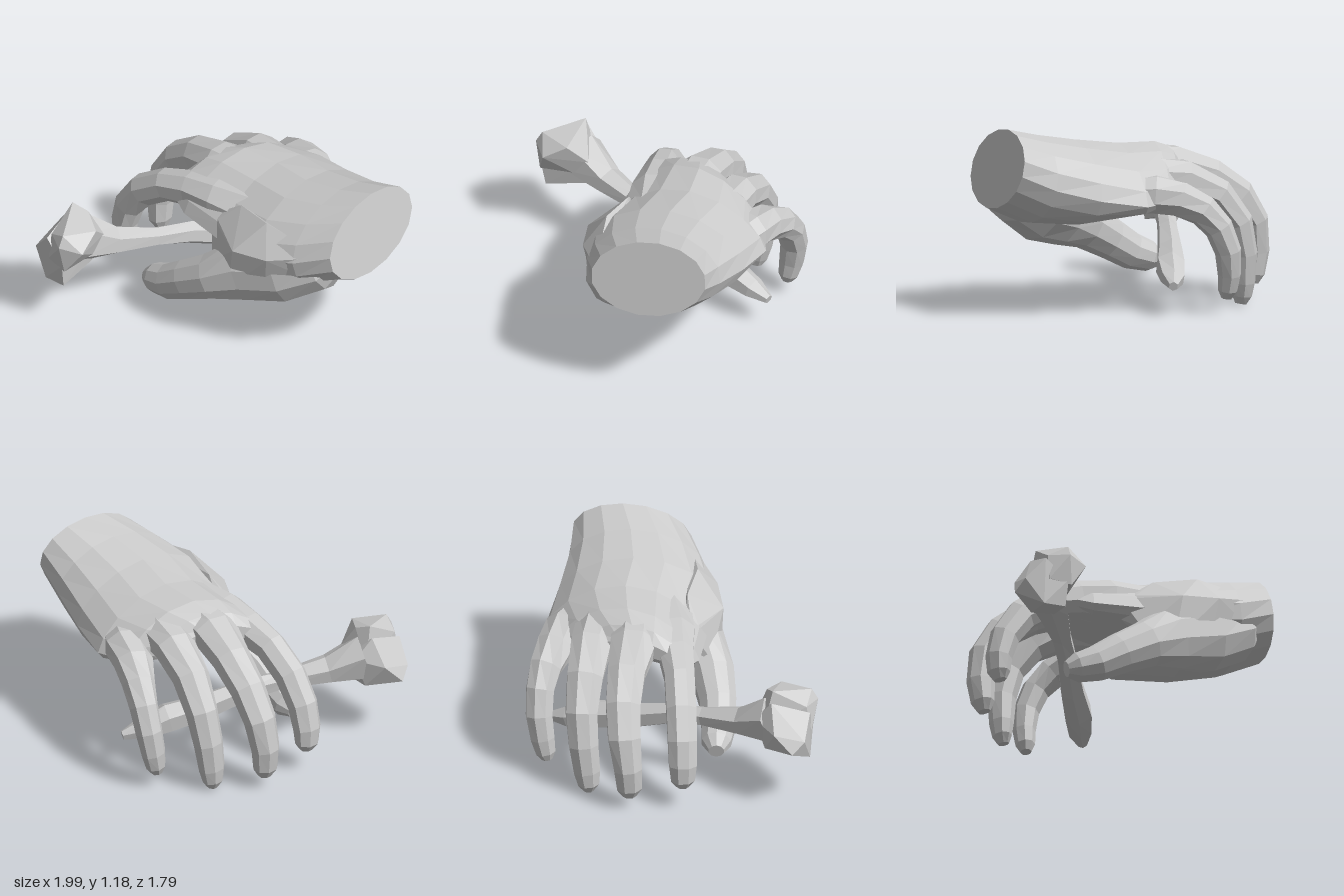
import * as THREE from 'three';
import { ConvexGeometry } from 'three/addons/geometries/ConvexGeometry.js';

const material = new THREE.MeshStandardMaterial({ color: 0xcccccc, flatShading: true });

// Skin a list of rings (arrays of Vector3) and close both ends
function skin(rings) {
  const n = rings[0].length, pos = [], index = [];
  rings.forEach(r => r.forEach(p => pos.push(p.x, p.y, p.z)));
  for (let i = 0; i < rings.length - 1; i++) {
    for (let j = 0; j < n; j++) {
      const k = (j + 1) % n, a = i * n + j, b = i * n + k;
      index.push(a, b, a + n, b, b + n, a + n);
    }
  }
  [0, rings.length - 1].forEach((r, end) => {
    const c = new THREE.Vector3();
    rings[r].forEach(p => c.addScaledVector(p, 1 / n));
    const ci = pos.length / 3;
    pos.push(c.x, c.y, c.z);
    for (let j = 0; j < n; j++) {
      const a = r * n + j, b = r * n + (j + 1) % n;
      if (end) index.push(ci, a, b); else index.push(ci, b, a);
    }
  });
  const g = new THREE.BufferGeometry();
  g.setAttribute('position', new THREE.Float32BufferAttribute(pos, 3));
  g.setIndex(index);
  g.computeVertexNormals();
  return g;
}

// Limb along a path of [x, y, z, side radius, depth radius]
function limb(path, sides = 8, ref = new THREE.Vector3(0, 0, 1)) {
  const pts = path.map(p => new THREE.Vector3(p[0], p[1], p[2]));
  return skin(path.map((p, i) => {
    const t = pts[Math.min(i + 1, pts.length - 1)].clone().sub(pts[Math.max(i - 1, 0)]).normalize();
    const u = ref.clone().addScaledVector(t, -ref.dot(t)).normalize();
    const v = t.clone().cross(u);
    return Array.from({ length: sides }, (_, j) => {
      const a = (j + 0.5) / sides * Math.PI * 2;
      return pts[i].clone().addScaledVector(u, Math.cos(a) * p[3]).addScaledVector(v, Math.sin(a) * p[4]);
    });
  }));
}

// Palm section: arched oval, leaning in x with z and y, its top shifted in z
function palmRing([x, yc, ry, zc, rz, arch, leanZ, leanY, shift]) {
  const n = 16;
  return Array.from({ length: n }, (_, j) => {
    const a = j / n * Math.PI * 2, c = Math.cos(a), s = Math.sin(a);
    const dy = ry * s - arch * c * c, dz = rz * c - shift * s;
    return new THREE.Vector3(x + leanZ * dz + leanY * dy, yc + dy, zc + dz);
  });
}

const hull = pts => new ConvexGeometry(pts.map(p => new THREE.Vector3(...p)));

export function createModel() {
  const model = new THREE.Group();
  const add = (name, geometry) => {
    const mesh = new THREE.Mesh(geometry, material);
    mesh.name = name;
    model.add(mesh);
  };

  // Wrist and back of the hand
  add('palm', skin([
    [0.93, 0.92, 0.25, -0.155, 0.365, 0, -0.1, -0.2, 0.06],
    [0.7, 0.84, 0.275, -0.14, 0.43, 0.02, -0.1, -0.15, 0.04],
    [0.42, 0.805, 0.26, -0.16, 0.5, 0.06, -0.1, -0.1, 0.02],
    [0.12, 0.85, 0.18, -0.245, 0.5, 0.15, -0.15, 0, 0],
    [-0.14, 0.87, 0.15, -0.25, 0.44, 0.16, -0.3, 0, 0],
    [-0.27, 0.86, 0.115, -0.23, 0.35, 0.11, -0.4, 0, 0],
    [-0.34, 0.85, 0.05, -0.21, 0.26, 0.06, -0.4, 0, 0],
  ].map(palmRing)));

  // Curled fingers from knuckle to tip
  const fingers = {
    indexFinger: [
      [0.12, 0.8, -0.02, 0.2, 0.16], [-0.13, 0.81, 0.03, 0.15, 0.135], [-0.33, 0.79, 0.04, 0.115, 0.115],
      [-0.52, 0.735, 0.05, 0.1, 0.105], [-0.7, 0.61, 0.05, 0.1, 0.105], [-0.81, 0.45, 0.05, 0.097, 0.095],
      [-0.85, 0.3, 0.05, 0.092, 0.083], [-0.85, 0.2, 0.05, 0.08, 0.07], [-0.84, 0.15, 0.05, 0.045, 0.04]],
    middleFinger: [
      [-0.06, 0.87, -0.19, 0.15, 0.14], [-0.3, 0.855, -0.22, 0.155, 0.125], [-0.52, 0.775, -0.28, 0.125, 0.115],
      [-0.7, 0.65, -0.31, 0.115, 0.105], [-0.81, 0.48, -0.31, 0.108, 0.095], [-0.84, 0.28, -0.29, 0.093, 0.088],
      [-0.83, 0.14, -0.28, 0.083, 0.072], [-0.82, 0.08, -0.28, 0.045, 0.04]],
    ringFinger: [
      [0.02, 0.83, -0.41, 0.15, 0.14], [-0.22, 0.81, -0.48, 0.135, 0.12], [-0.42, 0.7, -0.53, 0.12, 0.11],
      [-0.55, 0.52, -0.56, 0.105, 0.1], [-0.6, 0.32, -0.55, 0.098, 0.088], [-0.61, 0.14, -0.53, 0.088, 0.075],
      [-0.61, 0.05, -0.52, 0.07, 0.06], [-0.6, 0, -0.52, 0.035, 0.035]],
    littleFinger: [
      [0.26, 0.75, -0.5, 0.13, 0.11], [0.07, 0.755, -0.62, 0.14, 0.125], [-0.07, 0.72, -0.69, 0.125, 0.115],
      [-0.19, 0.65, -0.76, 0.105, 0.1], [-0.28, 0.54, -0.8, 0.092, 0.09], [-0.34, 0.39, -0.81, 0.088, 0.082],
      [-0.36, 0.24, -0.79, 0.08, 0.07], [-0.36, 0.14, -0.77, 0.065, 0.06], [-0.36, 0.09, -0.76, 0.035, 0.035]],
  };
  for (const [name, path] of Object.entries(fingers)) add(name, limb(path));

  // Thumb with its fleshy base, and the muscle joining it to the index finger
  add('thumb', limb([
    [0.83, 0.81, -0.02, 0.12, 0.08], [0.7, 0.715, 0.04, 0.2, 0.18], [0.47, 0.61, 0.14, 0.2, 0.22],
    [0.22, 0.53, 0.23, 0.155, 0.205], [0.03, 0.43, 0.29, 0.14, 0.15], [-0.15, 0.33, 0.31, 0.12, 0.13],
    [-0.3, 0.24, 0.305, 0.11, 0.115], [-0.42, 0.2, 0.285, 0.095, 0.095], [-0.49, 0.18, 0.28, 0.05, 0.05]], 10));
  add('thumbWeb', hull([
    [0.85, 0.9, 0.2], [0.78, 0.68, 0.2], [0.5, 0.8, 0.35], [0.45, 0.48, 0.3], [0.25, 0.77, 0.37],
    [0.2, 0.45, 0.35], [0.14, 0.94, 0.14], [0, 0.64, 0.14], [0.02, 0.54, 0.28], [0.15, 0.58, 0.05],
    [0.4, 0.54, 0], [0, 0.8, 0.2], [0.4, 0.97, 0.22], [-0.08, 0.69, 0.08], [-0.08, 0.78, 0.16],
  ]));

  // Bone shaft, narrowing to a flat leaf-shaped tip under the hand
  add('boneShaft', limb([
    [-0.76, 0.55, 0.62, 0.14, 0.17], [-0.63, 0.48, 0.43, 0.1, 0.09], [-0.49, 0.435, 0.2, 0.065, 0.06],
    [-0.38, 0.4, 0, 0.065, 0.075], [-0.25, 0.315, -0.25, 0.08, 0.09], [-0.13, 0.265, -0.46, 0.095, 0.1],
    [-0.06, 0.215, -0.61, 0.08, 0.065], [0, 0.185, -0.72, 0.03, 0.03]], 6, new THREE.Vector3(1, 0, 0)));

  // Thick end of the bone: a lower lobe and a smaller upper one
  add('lowerLobe', hull([
    [-1, 0.43, 0.72], [-0.96, 0.55, 0.61], [-0.96, 0.5, 0.8], [-0.85, 0.33, 0.84], [-0.71, 0.33, 0.84],
    [-0.83, 0.39, 0.56], [-0.68, 0.4, 0.56], [-0.7, 0.5, 0.87], [-0.84, 0.64, 0.84], [-0.85, 0.72, 0.6],
    [-0.66, 0.58, 0.55], [-0.8, 0.58, 0.5],
  ]));
  add('upperLobe', hull([
    [-0.82, 0.79, 0.61], [-0.72, 0.75, 0.58], [-0.58, 0.72, 0.68], [-0.57, 0.63, 0.83], [-0.7, 0.66, 0.9],
    [-0.7, 0.73, 0.86], [-0.82, 0.67, 0.82], [-0.63, 0.5, 0.65], [-0.68, 0.47, 0.87], [-0.85, 0.55, 0.55],
    [-0.62, 0.6, 0.55], [-0.82, 0.5, 0.85],
  ]));
  return model;
}
